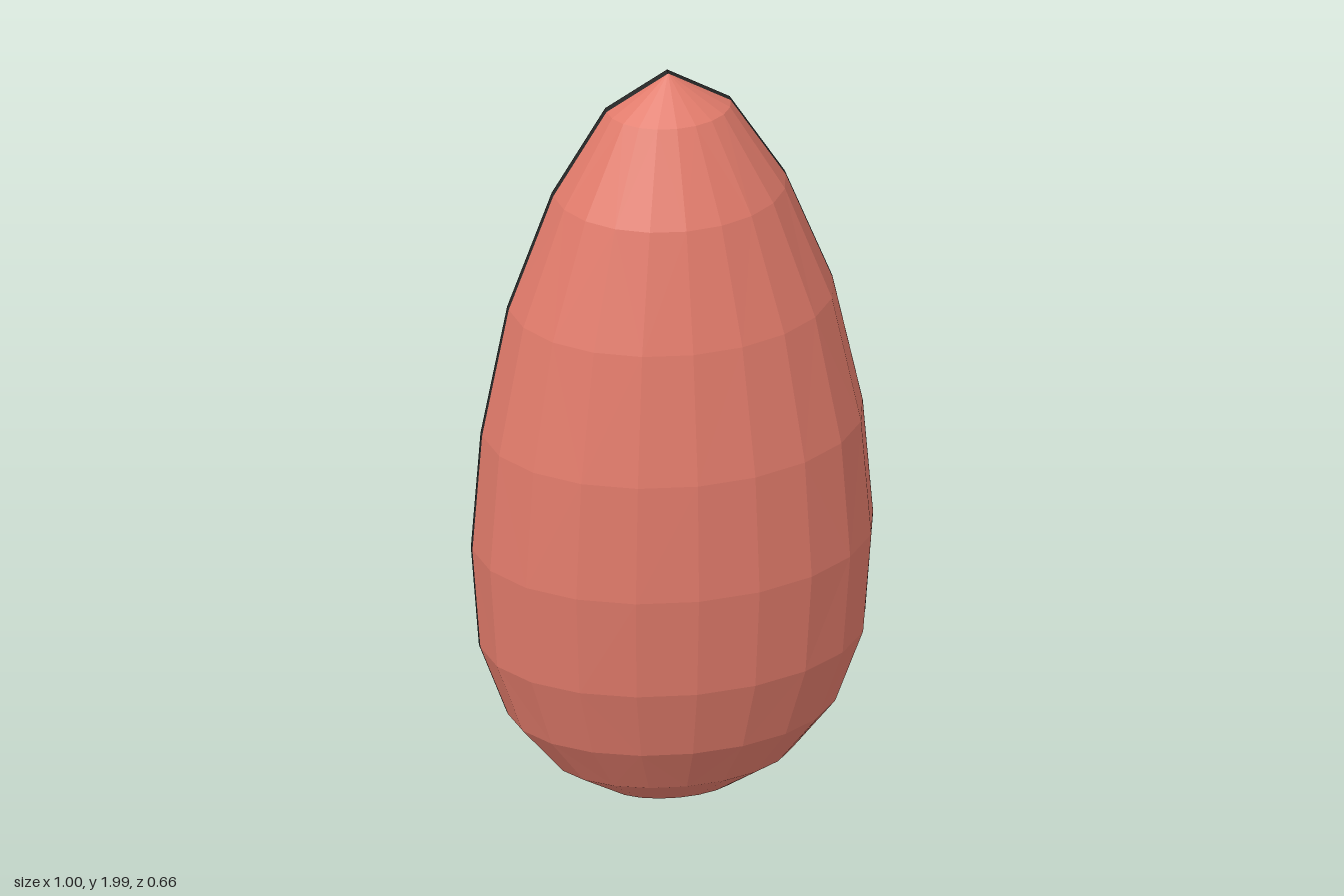
import * as THREE from 'three';

const RED = 0xe07a6a, GREY = 0x8a8a8a, BLACK = 0x262626, GLASS = 0xb5e2e0, BROWN = 0x8b5530;

// Stations from stern to bow: half width, y, sheer z, keel z, deck z
const STATIONS = [
  [0, 0.01, -0.02, -0.02, -0.05], [0.16, 0.02, -0.02, 0.07, -0.05], [0.3, 0.11, -0.02, 0.17, -0.05],
  [0.41, 0.25, -0.02, 0.25, -0.05], [0.48, 0.45, -0.02, 0.305, -0.05], [0.5, 0.73, -0.02, 0.33, -0.05],
  [0.475, 1.05, -0.025, 0.315, -0.09], [0.405, 1.39, -0.045, 0.255, -0.105], [0.29, 1.69, -0.065, 0.165, -0.11],
  [0.155, 1.91, -0.075, 0.04, -0.11], [0, 2, -0.08, -0.08, -0.107],
];

function mat(color) {
  return new THREE.MeshStandardMaterial({ color, flatShading: true, side: THREE.DoubleSide });
}

function add(group, name, geometry, color) {
  const mesh = new THREE.Mesh(geometry, mat(color));
  mesh.name = name;
  group.add(mesh);
  return mesh;
}

// Surface through rows of points, with alternating diagonals
function loft(rows, closed = false) {
  const n = rows[0].length, index = [];
  for (let i = 0; i < rows.length - 1; i++) {
    for (let j = 0; j < (closed ? n : n - 1); j++) {
      const a = i * n + j, b = i * n + (j + 1) % n, c = b + n, d = a + n;
      if ((i + j) % 2) index.push(a, b, c, a, c, d);
      else index.push(a, b, d, b, c, d);
    }
  }
  const g = new THREE.BufferGeometry();
  g.setAttribute('position', new THREE.Float32BufferAttribute(rows.flat(2), 3));
  g.setIndex(index);
  g.computeVertexNormals();
  return g;
}

// Half outline from the centre line and back to it, mirrored into a closed loop
function mirrorLoop(half) {
  const other = half.filter(p => p[0] > 0).reverse().map(p => [-p[0], ...p.slice(1)]);
  return [...half, ...other];
}

// Plate between two z levels
function slab(loop, zMin, zMax) {
  const shape = new THREE.Shape(loop.map(p => new THREE.Vector2(p[0], p[1])));
  const g = new THREE.ExtrudeGeometry(shape, { depth: zMax - zMin, bevelEnabled: false });
  return g.translate(0, 0, zMin);
}

// Framed panel on a four-cornered face: a-b along the base, d-c along the top
function panel(group, name, face, [u0, u1, v0, v1], border, color) {
  const [a, b, c, d] = face.map(p => new THREE.Vector3(...p));
  const normal = b.clone().sub(a).cross(d.clone().sub(a)).normalize();
  const centre = a.clone().add(b).add(c).add(d).multiplyScalar(0.25);
  const outward = centre.clone().sub(new THREE.Vector3(0, name.startsWith('rear') ? 0.9 : 0.72, -0.15));
  if (normal.dot(outward) < 0) normal.negate();
  const at = (u, v, lift) => a.clone().lerp(b, u).lerp(d.clone().lerp(c, u), v)
    .addScaledVector(normal, lift).toArray();
  const quad = (m, n, lift) => loft([
    [at(u0 + m, v0 + n, lift), at(u1 - m, v0 + n, lift)],
    [at(u0 + m, v1 - n, lift), at(u1 - m, v1 - n, lift)],
  ]);
  add(group, name + 'Frame', quad(0, 0, 0.006), BLACK);
  add(group, name, quad(border[0], border[1], 0.01), color);
}

function buildHull(group) {
  // Faceted shell of half-elliptic sections
  const rows = STATIONS.map(([w, y, zs, keel]) => Array.from({ length: 11 }, (_, j) => {
    const t = Math.PI * j / 10;
    return [w * Math.cos(t), y, zs + (keel - zs) * Math.sin(t)];
  }));
  add(group, 'hull', loft(rows), RED);

  // Rings that follow the outline
  const ring = (s, zOf) => mirrorLoop(STATIONS.map(p => [p[0] * s, 0.9 + (p[1] - 0.9) * s, zOf(p)]));
  add(group, 'rubRail', loft([ring(1, p => p[2] + 0.003), ring(1.002, p => p[2] - 0.013),
    ring(0.985, p => p[2] - 0.016)], true), BLACK);
  add(group, 'gunwale', loft([ring(0.993, p => p[2] - 0.01), ring(0.97, p => p[2] - 0.03),
    ring(0.88, p => p[4]), ring(0.86, () => 0.065)], true), GREY);

  // Foredeck and cockpit floor
  const deck = STATIONS.slice(6).map(p => {
    const x = p[0] * 0.88, y = 0.9 + (p[1] - 0.9) * 0.88;
    return [[x, y, p[4]], [0, y, p[4] - 0.006], [-x, y, p[4]]];
  });
  add(group, 'foredeck', loft(deck), GREY);
  const floor = mirrorLoop(STATIONS.slice(0, 6).map(p => [p[0] * 0.87, 0.9 + (p[1] - 0.9) * 0.87]));
  add(group, 'cockpitFloor', slab(floor, 0.055, 0.065), BLACK);
}

function buildTrunk(group) {
  const outline = s => mirrorLoop([[0, 1.06], [0.37 * s, 1.06], [0.24 * s, 1.35 + 0.25 * s], [0, 1.35 + 0.31 * s]]);
  add(group, 'trunkBase', slab(outline(1.03), -0.119, -0.08), BLACK);
  add(group, 'trunkStripe', slab(outline(1), -0.134, -0.11), RED);
  add(group, 'trunkEdge', slab(outline(0.965), -0.136, -0.12), BLACK);

  // Faceted top rising to a ridge
  const rim = outline(0.94).map(p => [...p, -0.136]);
  const ridge = rim.map(p => [0, p[1] > 1.3 ? 1.5 : 1.06, -0.154]);
  add(group, 'trunkTop', loft([rim, ridge], true), GREY);

  // Deck lamp between two dark wings
  const lamp = add(group, 'deckLamp', new THREE.BoxGeometry(0.07, 0.11, 0.035), RED);
  lamp.position.set(0, 1.455, -0.16);
  for (const s of [1, -1]) {
    const tip = [0.215 * s, 1.58, -0.14];
    add(group, 'lampWing', loft([[tip, tip], [[0.03 * s, 1.515, -0.158], [0.03 * s, 1.405, -0.159]]]), BLACK);
  }
}

function buildCabin(group) {
  // Front centre round to rear centre, at the base and under the roof
  const base = [[0, 1.165], [0.37, 1.13], [0.43, 1.03], [0.42, 0.475], [0.17, 0.6], [0, 0.6]];
  const top = [[0, 0.96], [0.345, 0.935], [0.355, 0.92], [0.355, 0.5], [0.17, 0.6], [0, 0.6]];
  const level = (half, z) => half.map(p => [...p, z]);
  const low = level(base, -0.04), high = level(top, -0.306);
  add(group, 'cabin', loft([mirrorLoop(level(base, 0.06)), mirrorLoop(low), mirrorLoop(high)], true), GREY);

  for (const s of [1, -1]) {
    const face = i => [low[i], low[i + 1], high[i + 1], high[i]].map(p => [p[0] * s, p[1], p[2]]);
    panel(group, 'windshield', face(0), [0.12, 0.94, 0.41, 0.95], [0.04, 0.045], GLASS);
    panel(group, 'sideWindow', face(2), [0.1, 0.95, 0.07, 0.93], [0.035, 0.055], GLASS);
    panel(group, 'rearPanel', face(3), [0.1, 0.92, 0.08, 0.94], [0.06, 0.06], GREY);
  }
  const door = [[0.17, 0.6, 0.04], [-0.17, 0.6, 0.04], [-0.17, 0.6, -0.306], [0.17, 0.6, -0.306]];
  panel(group, 'rearDoor', door, [0.06, 0.94, 0.08, 0.97], [0.05, 0.04], BROWN);

  // Roof plate with an arched rear edge and a coloured rim
  const roof = s => mirrorLoop([[0, 0.555], [0.2 * s, 0.54], [0.4 * s, 0.725 - 0.235 * s], [0.4 * s, 0.725 + 0.235 * s]]);
  add(group, 'roof', slab(roof(0.988), -0.332, -0.303), BLACK);
  add(group, 'roofRim', slab(roof(1), -0.326, -0.309), RED);
}

export function createModel() {
  const model = new THREE.Group();
  model.name = 'boat';
  for (const [name, build] of [['hullGroup', buildHull], ['trunkGroup', buildTrunk], ['cabinGroup', buildCabin]]) {
    const part = new THREE.Group();
    part.name = name;
    build(part);
    model.add(part);
  }
  return model;
}
